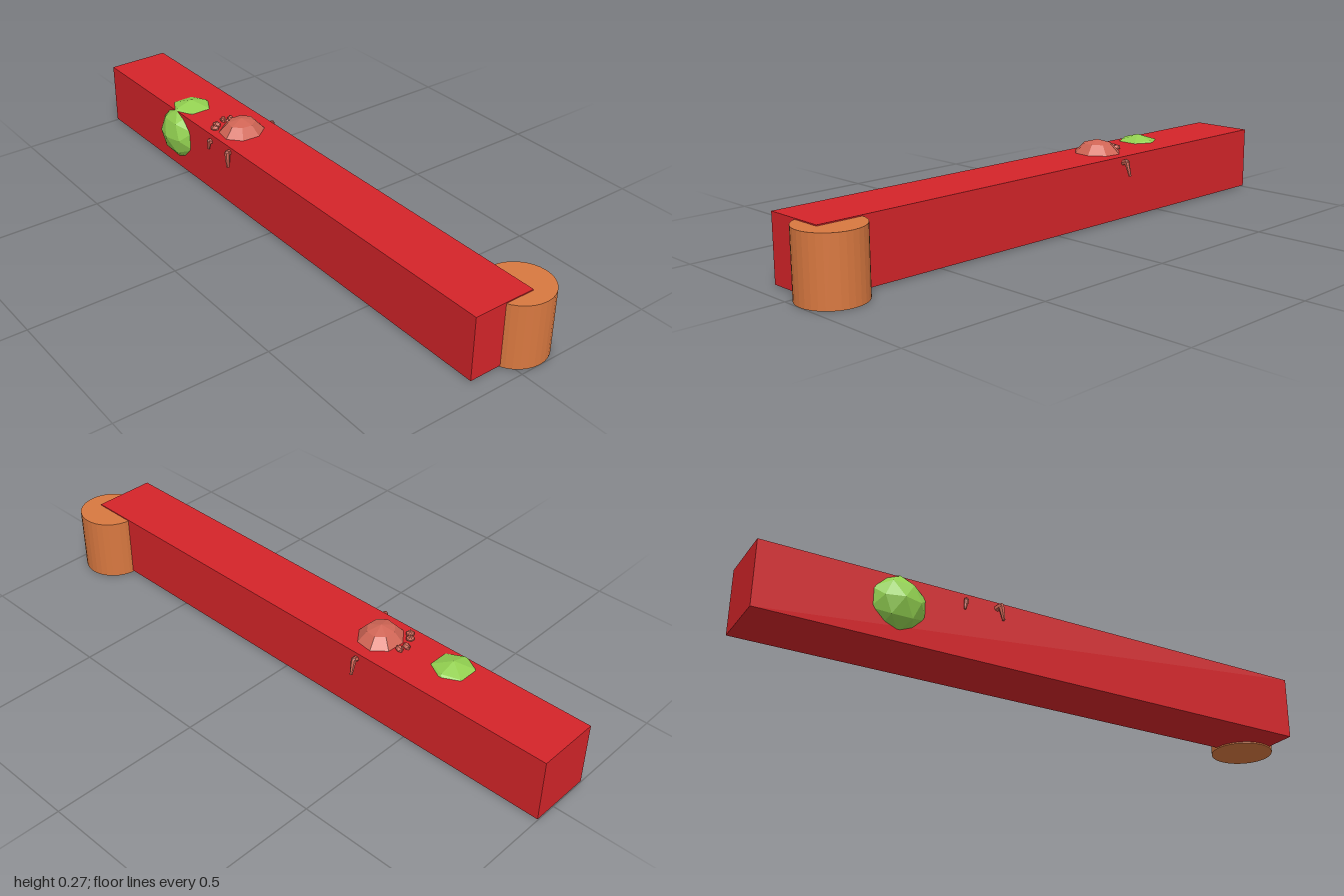
import * as THREE from 'three';

const paint = (color) => new THREE.MeshStandardMaterial({ color, flatShading: true });

function add(group, name, geometry, material, x, y, z) {
  const mesh = new THREE.Mesh(geometry, material);
  mesh.name = name;
  mesh.position.set(x, y, z);
  group.add(mesh);
  return mesh;
}

// Tapered segment joining two points
function segment(group, name, a, b, r0, r1, material) {
  const from = new THREE.Vector3(...a), to = new THREE.Vector3(...b);
  const dir = to.clone().sub(from);
  const mid = from.clone().add(to).multiplyScalar(0.5);
  const mesh = add(group, name, new THREE.CylinderGeometry(r1, r0, dir.length(), 6), material, mid.x, mid.y, mid.z);
  mesh.quaternion.setFromUnitVectors(new THREE.Vector3(0, 1, 0), dir.normalize());
}

export function createModel() {
  const model = new THREE.Group();
  const red = paint(0xd42429), orange = paint(0xd87840);
  const green = paint(0x92d050), coral = paint(0xd06555);

  // Long beam and the post at its front corner
  add(model, 'beam', new THREE.BoxGeometry(0.215, 0.215, 1.94), red, -0.03, 0.112, -0.03);
  add(model, 'post', new THREE.CylinderGeometry(0.107, 0.107, 0.216, 32), orange, 0.07, 0.108, 0.893);

  // Faceted ball, sunk in the beam and showing through its top and side
  add(model, 'greenBall', new THREE.IcosahedronGeometry(0.111, 1), green, -0.074, 0.132, -0.556);

  // Crab sunk in the beam
  const crab = new THREE.Group();
  crab.name = 'crab';
  model.add(crab);
  const shell = add(crab, 'shell', new THREE.SphereGeometry(0.1, 8, 6), coral, -0.037, 0.165, -0.3);
  shell.rotation.y = 0.3;
  shell.scale.set(1, 1, 0.9);

  // Bent legs: hip, knee, foot
  const legs = [
    [[-0.09, 0.18, -0.25], [-0.15, 0.205, -0.22], [-0.154, 0.155, -0.212], 0.01],
    [[-0.10, 0.18, -0.32], [-0.144, 0.197, -0.338], [-0.145, 0.165, -0.342], 0.008],
    [[0.03, 0.18, -0.3], [0.092, 0.205, -0.305], [0.106, 0.155, -0.308], 0.009],
  ];
  for (const [hip, knee, foot, r] of legs) {
    segment(crab, 'upperLeg', hip, knee, r, r, coral);
    add(crab, 'knee', new THREE.IcosahedronGeometry(r, 0), coral, ...knee);
    segment(crab, 'lowerLeg', knee, foot, r, r * 0.5, coral);
  }

  // Pincers breaking the top surface behind the shell
  for (const [x, z, turn] of [[-0.097, -0.368, 0.7], [-0.037, -0.39, -0.3]]) {
    segment(crab, 'pincerArm', [x * 0.8, 0.19, -0.34], [x, 0.218, z], 0.012, 0.01, coral);
    for (const side of [-1, 1]) {
      const claw = add(crab, 'pincer', new THREE.IcosahedronGeometry(0.014, 0), coral,
        x + side * 0.013 * Math.cos(turn), 0.224, z - side * 0.013 * Math.sin(turn));
      claw.scale.set(0.8, 0.9, 1.1);
      claw.rotation.y = turn;
    }
  }
  return model;
}
